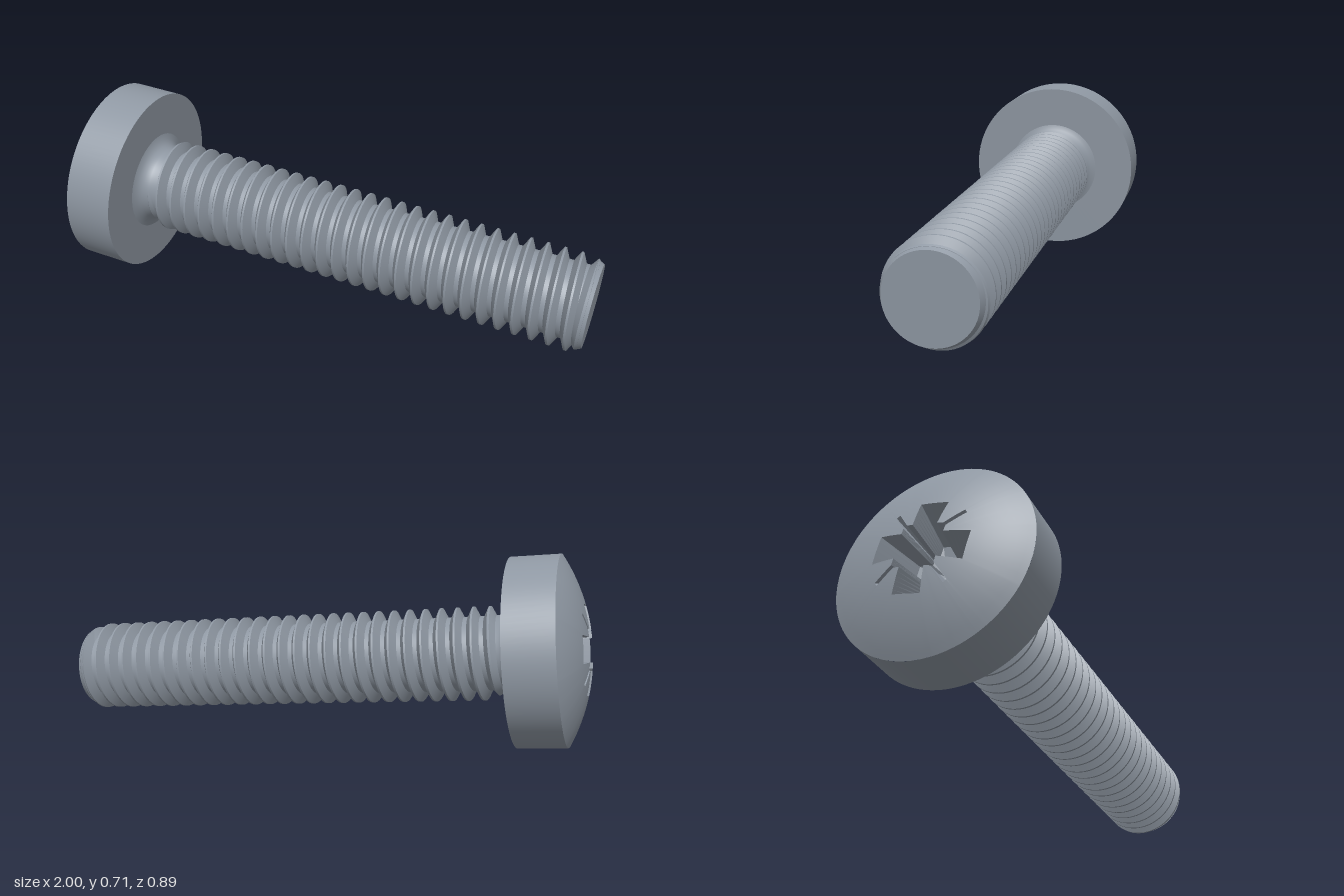
import * as THREE from 'three';
import { mergeVertices } from 'three/addons/utils/BufferGeometryUtils.js';

// Screw built along local +y: underside of the head at y = 0, tip at y = LENGTH
const LENGTH = 1.728, HEAD_R = 0.347, SIDE_H = 0.18, DOME_H = 0.092;
const MAJOR = 0.173, MINOR = 0.137, PITCH = 0.0604, TIP_R = 0.15;

const steel = new THREE.MeshStandardMaterial({ color: 0x8f98a3 });
steel.name = 'steel';

function addMesh(group, name, geometry) {
  const mesh = new THREE.Mesh(geometry, steel);
  mesh.name = name;
  group.add(mesh);
}

// Surface from a rule fn(i, j) -> [x, y, z]
function grid(ni, nj, fn, smooth = true) {
  const pos = [], index = [];
  for (let i = 0; i <= ni; i++) {
    for (let j = 0; j <= nj; j++) {
      pos.push(...fn(i, j));
      if (i < ni && j < nj) {
        const a = i * (nj + 1) + j, b = a + nj + 1;
        index.push(a, b, b + 1, a, b + 1, a + 1);
      }
    }
  }
  let g = new THREE.BufferGeometry();
  g.setAttribute('position', new THREE.Float32BufferAttribute(pos, 3));
  g.setIndex(index);
  g = smooth ? mergeVertices(g, 1e-5) : g.toNonIndexed();
  g.computeVertexNormals();
  return g;
}

function lathe(points) {
  return new THREE.LatheGeometry(points.map(([r, y]) => new THREE.Vector2(r, y)), 96);
}

// Closed four-fold outline from the corners of one quadrant, as [z, x] points
function fourFold(corners, steps) {
  const all = [], out = [];
  for (let k = 0; k < 4; k++) {
    const c = Math.round(Math.cos(k * Math.PI / 2)), s = Math.round(Math.sin(k * Math.PI / 2));
    for (const [z, x] of corners) all.push([z * c - x * s, z * s + x * c]);
  }
  all.forEach((p, n) => {
    const q = all[(n + 1) % all.length];
    for (let i = 0; i < steps; i++) {
      const f = i / steps;
      out.push([p[0] + (q[0] - p[0]) * f, p[1] + (q[1] - p[1]) * f]);
    }
  });
  out.push(out[0]);
  return out;
}

function buildHead() {
  const head = new THREE.Group();
  head.name = 'head';
  addMesh(head, 'headSide', lathe([[HEAD_R, -SIDE_H], [HEAD_R, 0]]));
  addMesh(head, 'headUnderside', lathe([[HEAD_R, 0], [0.185, 0]]));

  // Cross recess: four wings with narrow diagonal notches between them
  const mouth = fourFold([[0.162, 0.05], [0.075, 0.044], [0.076, 0.066], [0.128, 0.118],
    [0.118, 0.128], [0.066, 0.076], [0.044, 0.075], [0.05, 0.162]], 6);
  const base = fourFold([[0.1, 0.032], [0.052, 0.034], [0.05, 0.046], [0.051, 0.05],
    [0.05, 0.051], [0.046, 0.05], [0.034, 0.052], [0.032, 0.1]], 6);
  const n = mouth.length - 1, floorY = -0.11;
  const R = (HEAD_R ** 2 + DOME_H ** 2) / (2 * DOME_H);
  const domeY = r => -SIDE_H - DOME_H + R - Math.sqrt(R * R - r * r);

  // Dome spans from the recess mouth to the rim
  addMesh(head, 'headDome', grid(n, 8, (i, j) => {
    const [z, x] = mouth[i], r0 = Math.hypot(z, x);
    const r = r0 + (HEAD_R - r0) * j / 8;
    return [x / r0 * r, domeY(r), z / r0 * r];
  }));
  addMesh(head, 'recessWalls', grid(n, 1, (i, j) => {
    const [z, x] = j ? mouth[i] : base[i];
    return [x, j ? domeY(Math.hypot(z, x)) : floorY, z];
  }, false));
  addMesh(head, 'recessFloor', grid(n, 1, (i, j) =>
    j ? [base[i][1], floorY, base[i][0]] : [0, floorY + 0.02, 0], false));
  return head;
}

function buildShank() {
  const shank = new THREE.Group();
  shank.name = 'shank';
  addMesh(shank, 'neckFillet', lathe([[0.188, 0], [0.168, 0.006], [0.15, 0.02], [0.14, 0.04], [MINOR, 0.07]]));

  // Helical thread: one strip for each face of the tooth profile
  const start = 0.035, end = LENGTH - 0.012, perTurn = 60;
  const steps = Math.ceil(((end - start) / PITCH + 1) * perTurn);
  const profile = [[0, MAJOR], [0.12, MAJOR], [0.43, MINOR], [0.69, MINOR], [1, MAJOR]];
  const names = ['threadCrest', 'threadLeadingFlank', 'threadRoot', 'threadTrailingFlank'];
  names.forEach((name, k) => addMesh(shank, name, grid(steps, 1, (i, j) => {
    const turn = i / perTurn - 1, a = turn * Math.PI * 2;
    const [u, radius] = profile[k + j];
    const t = THREE.MathUtils.clamp(start + PITCH * (u + turn), start, end);
    // Fade in at the neck, chamfer at the tip
    const r = Math.min(radius, MINOR + (t - start) * 0.8, TIP_R + (LENGTH - t) * 0.6);
    return [r * Math.sin(a), t, r * Math.cos(a)];
  })));

  // Chamfered tip
  addMesh(shank, 'tipChamfer', lathe([[MINOR - 0.002, LENGTH - 0.045], [0.161, LENGTH - 0.022]]));
  addMesh(shank, 'tipBevel', lathe([[0.161, LENGTH - 0.022], [TIP_R, LENGTH]]));
  addMesh(shank, 'tipFace', lathe([[TIP_R, LENGTH], [0, LENGTH]]));
  return shank;
}

export function createModel() {
  const model = new THREE.Group();
  model.name = 'machineScrew';
  const screw = new THREE.Group();
  screw.name = 'screw';
  screw.add(buildHead(), buildShank());
  // Lay the screw along its tilted axis
  const axis = new THREE.Vector3(0.9743, -0.0968, 0.2033).normalize();
  screw.quaternion.setFromUnitVectors(new THREE.Vector3(0, 1, 0), axis);
  screw.position.set(-0.715, 0.3455, -0.0725);
  model.add(screw);
  return model;
}
